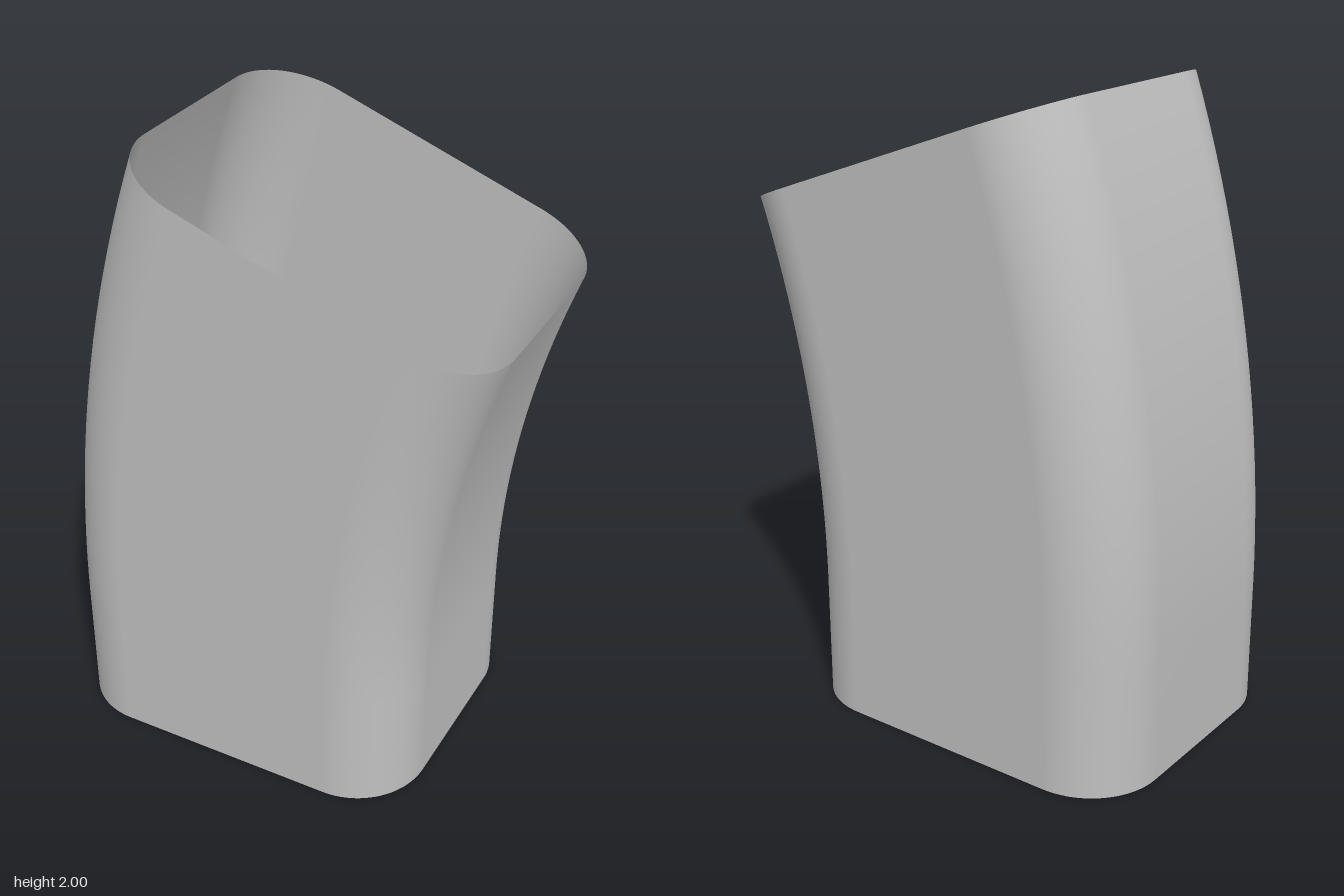
import * as THREE from 'three';

const HALF_W = 0.605, HALF_D = 0.49, CORNER = 0.24, CENTRE_X = -0.106;
const STRAIGHT = 0.4;                            // height of the upright part
const PIVOT_X = 3.98, BEND = THREE.MathUtils.degToRad(20);

// Rounded rectangle cross-section, counter-clockwise
function section() {
  const s = new THREE.Shape();
  const x = HALF_W - CORNER, y = HALF_D - CORNER;
  [[x, y], [-x, y], [-x, -y], [x, -y]].forEach(([cx, cy], i) => {
    s.absarc(CENTRE_X + cx, cy, CORNER, i * Math.PI / 2, (i + 1) * Math.PI / 2, false);
  });
  return s;
}

// Wall: the section goes straight up, then swings about a pivot on the left
function wallGeometry(shape) {
  const ring = shape.getPoints(12);
  const n = ring.length, bendSteps = 20;
  const positions = [], index = [];
  const addRing = (y, angle) => ring.forEach((p) => {
    const r = PIVOT_X - p.x;
    positions.push(PIVOT_X - r * Math.cos(angle), y + r * Math.sin(angle), -p.y);
  });
  addRing(0, 0);
  for (let j = 0; j <= bendSteps; j++) addRing(STRAIGHT, BEND * j / bendSteps);

  for (let j = 0; j <= bendSteps; j++) {
    for (let i = 0; i < n; i++) {
      const a = j * n + i, b = j * n + (i + 1) % n;
      index.push(a, b, b + n, a, b + n, a + n);
    }
  }
  const g = new THREE.BufferGeometry();
  g.setAttribute('position', new THREE.Float32BufferAttribute(positions, 3));
  g.setIndex(index);
  g.computeVertexNormals();
  return g;
}

export function createModel() {
  const group = new THREE.Group();
  group.name = 'bentOpenTube';
  const grey = new THREE.MeshStandardMaterial({ color: 0xc0c0c0, side: THREE.DoubleSide });
  grey.name = 'light grey';
  const shape = section();

  // Thin bent wall, open at the top
  const wall = new THREE.Mesh(wallGeometry(shape), grey);
  wall.name = 'wall';

  // Flat floor closing the bottom
  const floor = new THREE.Mesh(new THREE.ShapeGeometry(shape, 12).rotateX(-Math.PI / 2), grey);
  floor.name = 'floor';

  group.add(wall, floor);
  return group;
}
